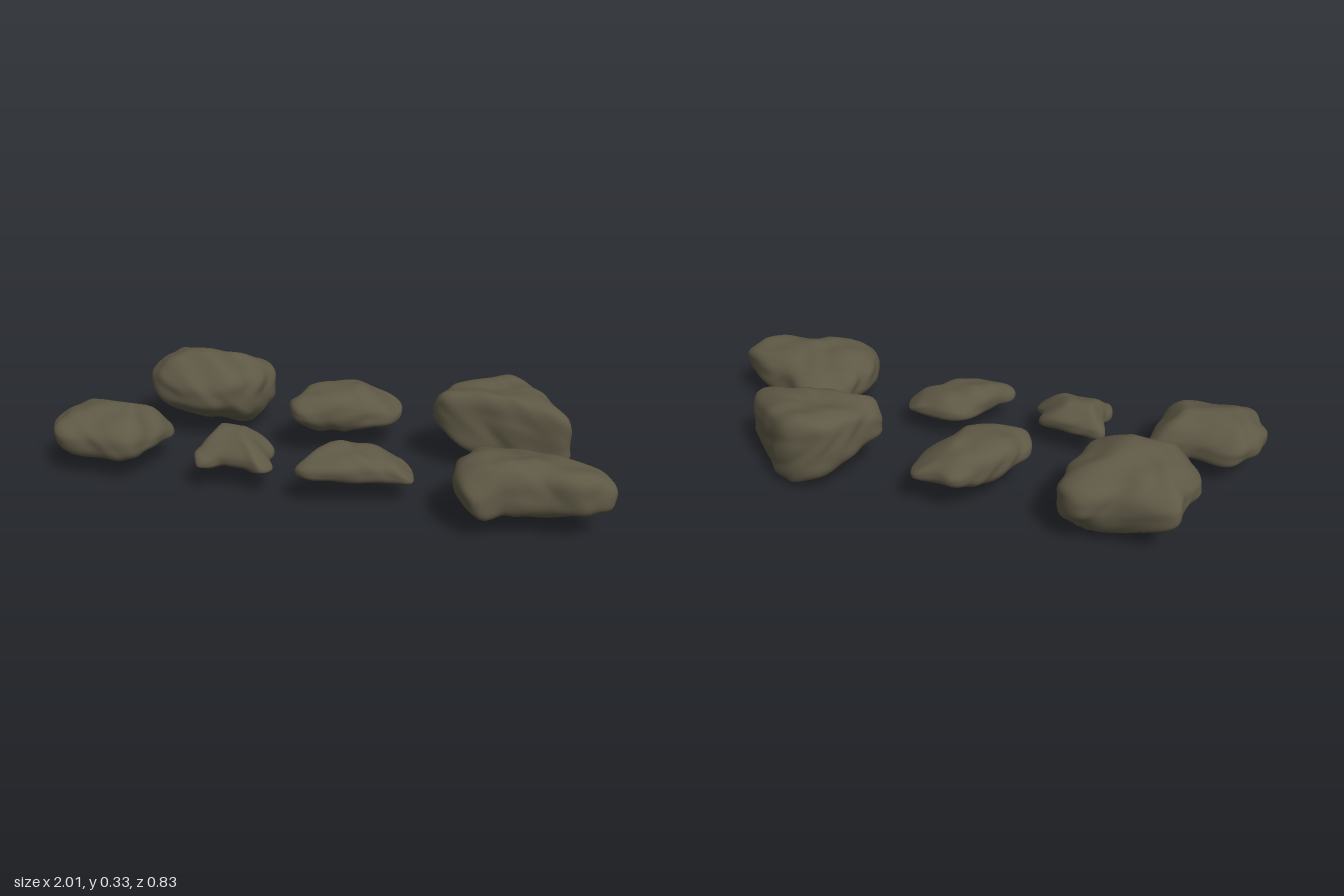
import * as THREE from 'three';

const AROUND = 72, LEVELS = 36;

// Straight-line lookup in a profile of [position, height]
function sample(profile, t) {
  if (t <= profile[0][0]) return profile[0][1];
  for (let i = 1; i < profile.length; i++) {
    const [t0, y0] = profile[i - 1], [t1, y1] = profile[i];
    if (t <= t1) return y0 + (y1 - y0) * (t - t0) / (t1 - t0);
  }
  return profile[profile.length - 1][1];
}

// Lower of two heights, with the crease between them softened
function softMin(a, b) {
  const overlap = Math.max(0, 1 - Math.abs(a - b) / .02);
  return Math.min(a, b) - overlap * overlap * .005;
}

// Gentle weathering bumps
function bump(x, y, z) {
  return .004 * Math.sin(31 * x + 17 * y + 2 * Math.sin(23 * z))
    + .003 * Math.sin(47 * z - 29 * x + 2 * Math.sin(37 * y + 19 * x));
}

// A rounded stone: plan outline [x, z], heights of the top and underside along x,
// then of the ridge and keel along z; a higher square gives a blockier edge
function rockGeometry(square, plan, top, low, ridge, keel) {
  const curve = new THREE.CatmullRomCurve3(plan.map(([x, z]) => new THREE.Vector3(x, 0, z)), true);
  const rim = curve.getSpacedPoints(AROUND).slice(0, AROUND);
  const centre = rim.reduce((sum, p) => sum.add(p), new THREE.Vector3()).divideScalar(AROUND);
  const positions = [], index = [];

  // s runs from the axis out to the rim, h from the underside to the top
  function add(p, s, h) {
    const spot = centre.clone().lerp(p, s);
    const high = softMin(sample(top, spot.x), sample(ridge, spot.z));
    const deep = -softMin(-sample(low, spot.x), -sample(keel, spot.z));
    spot.y = (high + deep) / 2 + h * (high - deep) / 2;
    const b = bump(spot.x, spot.y, spot.z);
    spot.addScaledVector(p.clone().sub(centre).normalize(), b * s ** 6);
    spot.y = Math.max(0, spot.y + b * h);
    positions.push(spot.x, spot.y, spot.z);
  }

  // Rings from the underside to the top
  add(centre, 0, -1);
  for (let j = 1; j < LEVELS; j++) {
    const a = (j / LEVELS - .5) * Math.PI, c = Math.cos(a), h = Math.sin(a);
    const n = (c ** square + Math.abs(h) ** square) ** (1 / square);
    rim.forEach(p => add(p, c / n, h / n));
  }
  add(centre, 0, 1);

  const last = positions.length / 3 - 1;
  for (let i = 0; i < AROUND; i++) {
    const k = (i + 1) % AROUND;
    index.push(0, 1 + i, 1 + k);
    for (let j = 0; j < LEVELS - 2; j++) {
      const a = 1 + j * AROUND, b = a + AROUND;
      index.push(a + i, b + i, a + k, a + k, b + i, b + k);
    }
    index.push(last, last - AROUND + k, last - AROUND + i);
  }
  const geometry = new THREE.BufferGeometry();
  geometry.setAttribute('position', new THREE.Float32BufferAttribute(positions, 3));
  geometry.setIndex(index);
  geometry.computeVertexNormals();
  return geometry;
}

export function createModel() {
  const group = new THREE.Group();
  group.name = 'rocks';
  const stone = new THREE.MeshStandardMaterial({ color: 0x5e5845 });
  stone.name = 'stone';

  function addRock(name, square, plan, top, low, ridge, keel = [[0, 0]]) {
    const mesh = new THREE.Mesh(rockGeometry(square, plan, top, low, ridge, keel), stone);
    mesh.name = name;
    group.add(mesh);
  }

  // Back row
  addRock('peakedBoulder', 4,
    [[-.77, -.385], [-.58, -.375], [-.44, -.41], [-.37, -.34], [-.39, -.17], [-.45, -.085], [-.55, -.05],
      [-.74, -.08], [-.825, -.21], [-.78, -.3]],
    [[-.82, .24], [-.66, .33], [-.58, .335], [-.47, .28], [-.37, .25]],
    [[-.82, .14], [-.55, .02], [-.44, .02], [-.37, .07]],
    [[-.41, .23], [-.25, .3], [-.16, .335], [-.05, .24]],
    [[-.41, .12], [-.34, .04], [-.24, .02], [-.05, .12]]);
  addRock('roughStone', 3,
    [[-.02, -.36], [.05, -.335], [.14, -.33], [.15, -.21], [.03, -.1], [-.05, -.05], [-.16, -.02],
      [-.22, -.09], [-.2, -.18], [-.11, -.29]],
    [[-.22, .21], [-.17, .245], [.01, .245], [.15, .16]],
    [[-.22, .13], [-.1, .08]],
    [[-.36, .2], [-.22, .255], [-.08, .255], [-.02, .21]],
    [[-.36, .12], [-.25, .08], [-.1, .08], [-.02, .12]]);
  addRock('blockBoulder', 7,
    [[.46, -.335], [.56, -.36], [.63, -.33], [.72, -.24], [.805, -.13], [.785, -.095], [.6, -.1], [.36, -.1],
      [.31, -.14], [.36, -.24]],
    [[.31, .24], [.36, .305], [.6, .305], [.81, .25]],
    [[.31, .17], [.43, .085], [.6, .005], [.7, .015], [.81, .06]],
    [[-.36, .27], [-.34, .305], [-.2, .29], [-.12, .305], [-.09, .28]]);

  // Front row
  addRock('slabStone', 3.4,
    [[-.92, .08], [-.76, .095], [-.605, .1], [-.605, .17], [-.65, .325], [-.68, .35], [-.8, .365], [-.94, .355], [-1, .23]],
    [[-1, .18], [-.93, .22], [-.71, .245], [-.6, .15]],
    [[-1, .09], [-.85, .07], [-.7, .06], [-.6, .08]],
    [[.08, .18], [.19, .25], [.37, .19]]);
  addRock('smallStone', 3,
    [[-.43, .125], [-.28, .13], [-.195, .165], [-.185, .23], [-.155, .275], [-.18, .32], [-.25, .3], [-.33, .31],
      [-.41, .345], [-.435, .27], [-.42, .22]],
    [[-.44, .14], [-.38, .2], [-.29, .21], [-.22, .16], [-.155, .11]],
    [[0, .08]],
    [[.12, .17], [.18, .215], [.26, .19], [.35, .12]]);
  addRock('wedgeStone', 3,
    [[.07, .105], [.18, .1], [.31, .14], [.32, .22], [.22, .26], [.135, .31], [-.02, .34], [-.06, .31], [0, .2]],
    [[-.06, .14], [0, .2], [.06, .21], [.27, .145], [.33, .1]],
    [[-.06, .09], [.2, .08], [.33, .07]],
    [[.1, .16], [.2, .21], [.34, .16]]);
  addRock('taperedBoulder', 4,
    [[.59, .04], [.7, .055], [.79, .115], [.88, .135], [1, .25], [.91, .33], [.79, .345], [.67, .37], [.57, .405], [.47, .25]],
    [[.47, .22], [.58, .265], [.8, .245], [.94, .24], [1, .21]],
    [[.47, .1], [.6, .06], [.98, .085]],
    [[.04, .19], [.13, .22], [.28, .26], [.34, .25], [.41, .18]]);
  return group;
}
